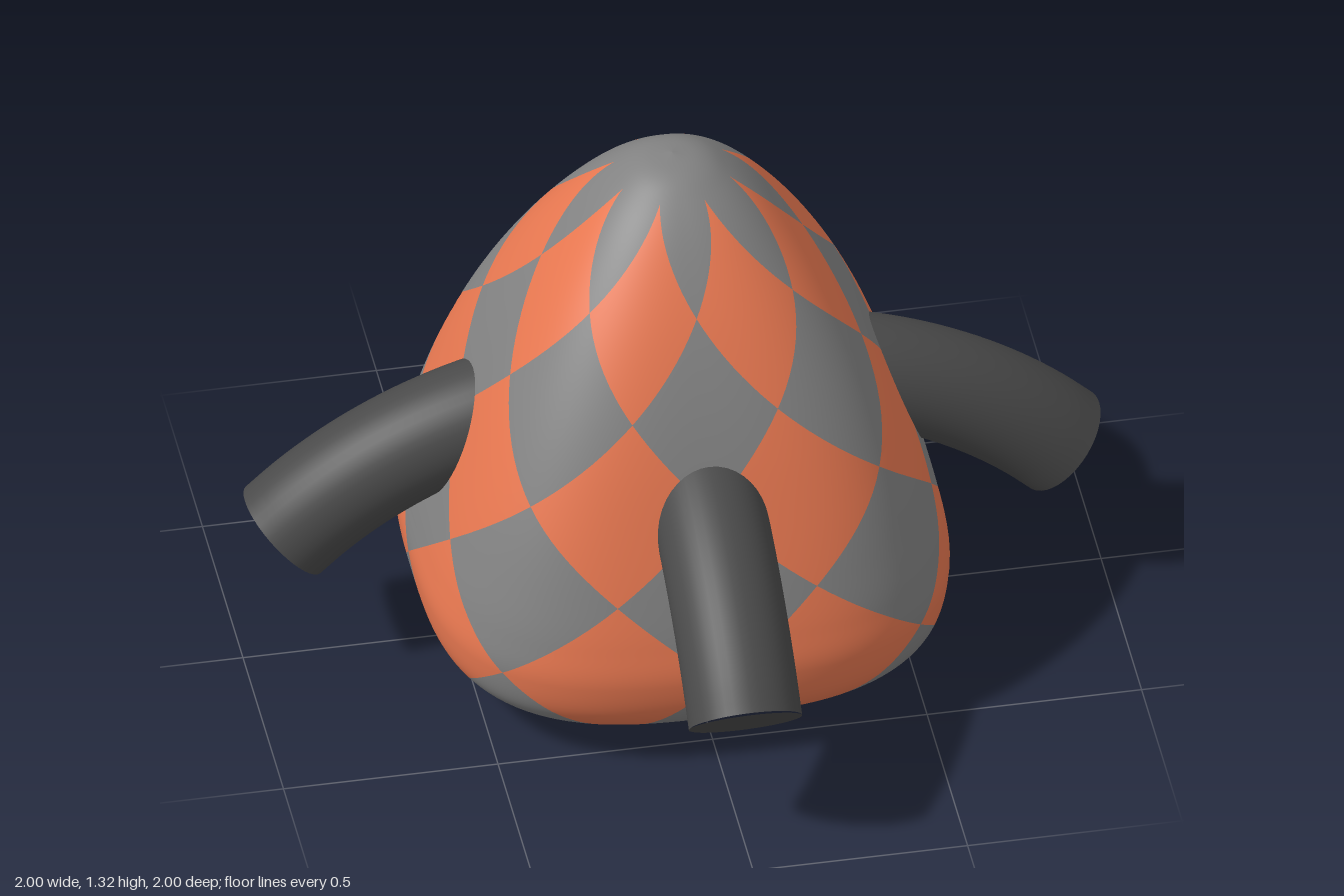
import * as THREE from 'three';

const mat = (name, color, side = THREE.FrontSide) => {
  const m = new THREE.MeshStandardMaterial({ color, side });
  m.name = name;
  return m;
};

// Body profile from bottom to top: half width, height, squareness of the section
const profile = new THREE.CatmullRomCurve3([
  [0, 0, 2.9], [0.16, 0.004, 2.9], [0.31, 0.018, 2.9], [0.44, 0.045, 2.9], [0.535, 0.09, 2.95],
  [0.595, 0.16, 3], [0.614, 0.25, 3], [0.6, 0.35, 3.1], [0.567, 0.47, 3.2], [0.52, 0.61, 3.3],
  [0.465, 0.757, 3.2], [0.395, 0.91, 3], [0.305, 1.066, 2.75], [0.205, 1.2, 2.5],
  [0.13, 1.272, 2.3], [0.065, 1.309, 2.1], [0, 1.32, 2],
].map((p) => new THREE.Vector3(...p)));

// Point on the body: rounded-square section at profile position t, angle a
function bodyPoint(t, a) {
  const p = profile.getPoint(t), c = Math.cos(a), s = Math.sin(a);
  const r = Math.max(p.x, 0) * (Math.abs(c) ** p.z + Math.abs(s) ** p.z) ** (-1 / p.z);
  return new THREE.Vector3(r * s, p.y, r * c);
}

function bodyNormal(t, a) {
  const e = 0.002, tt = THREE.MathUtils.clamp(t, 2 * e, 1 - 2 * e);
  const du = bodyPoint(tt, a + e).sub(bodyPoint(tt, a - e));
  const dv = bodyPoint(tt + e, a).sub(bodyPoint(tt - e, a));
  return du.cross(dv).normalize();
}

// Diamond pattern: half angle of a grey patch swings between 0 and one step
const STEP = Math.PI / 8, ROW = 0.2035, ROW0 = 0.253, TIP = ROW0 + 5 * ROW;
function greyHalfAngle(y) {
  if (y >= TIP) return STEP;
  const u = Math.abs((y - ROW0) / ROW) % 2;
  return STEP * (u > 1 ? 2 - u : u);
}

// Profile position at a given height
function atHeight(y) {
  let lo = 0, hi = 1;
  for (let i = 0; i < 40; i++) {
    const mid = (lo + hi) / 2;
    if (profile.getPoint(mid).y < y) lo = mid; else hi = mid;
  }
  return lo;
}

// Eight vertical chains of diamonds, each following the zigzag edges
function patchGeometry(offset, halfAngle, rows) {
  const N = 12, pos = [], nor = [], idx = [];
  for (let k = 0; k < 8; k++) {
    const base = pos.length / 3, centre = offset + k * 2 * STEP;
    rows.forEach((t, j) => {
      const w = halfAngle(profile.getPoint(t).y);
      for (let i = 0; i <= N; i++) {
        const a = centre + w * (2 * i / N - 1);
        pos.push(...bodyPoint(t, a).toArray());
        nor.push(...bodyNormal(t, a).toArray());
        if (j && i) {
          const d = base + j * (N + 1) + i, c = d - 1, b = d - N - 1, q = b - 1;
          idx.push(q, b, d, q, d, c);
        }
      }
    });
  }
  const g = new THREE.BufferGeometry();
  g.setAttribute('position', new THREE.Float32BufferAttribute(pos, 3));
  g.setAttribute('normal', new THREE.Float32BufferAttribute(nor, 3));
  g.setIndex(idx);
  return g;
}

export function createModel() {
  const model = new THREE.Group();
  const grey = mat('grey', 0x828282);
  const orange = mat('orange', 0xec7a52);
  const charcoal = mat('charcoal', 0x4a4a4a);
  const add = (parent, name, geo, m) => {
    const mesh = new THREE.Mesh(geo, m);
    mesh.name = name;
    parent.add(mesh);
    return mesh;
  };

  // Body rows, with extra rows where the diamonds touch
  const rows = Array.from({ length: 121 }, (_, i) => i / 120);
  for (let i = -1; i <= 5; i++) rows.push(atHeight(ROW0 + i * ROW));
  rows.sort((a, b) => a - b);
  const body = new THREE.Group();
  body.name = 'body';
  model.add(body);
  add(body, 'greyDiamonds', patchGeometry(0, greyHalfAngle, rows), grey);
  add(body, 'orangeDiamonds', patchGeometry(STEP, (y) => STEP - greyHalfAngle(y), rows), orange);

  // Four drooping arms, each a circular arc ending 45 degrees downward
  const R = 1.08, RADIUS = 0.131, END = Math.PI / 4;
  const path = new THREE.CatmullRomCurve3(Array.from({ length: 9 }, (_, i) => {
    const a = THREE.MathUtils.lerp(0.17, END, i / 8);
    return new THREE.Vector3(0, -0.407 + R * Math.cos(a), 0.143 + R * Math.sin(a));
  }));
  const tube = new THREE.TubeGeometry(path, 24, RADIUS, 40);
  const cap = new THREE.CircleGeometry(RADIUS, 40);
  ['front', 'left', 'back', 'right'].forEach((side, i) => {
    const arm = new THREE.Group();
    arm.name = side + 'Arm';
    add(arm, 'armTube', tube, charcoal);
    const end = add(arm, 'armEnd', cap, charcoal);
    end.position.copy(path.getPoint(1));
    end.rotation.x = END;
    arm.rotation.y = i * Math.PI / 2;
    model.add(arm);
  });
  return model;
}
